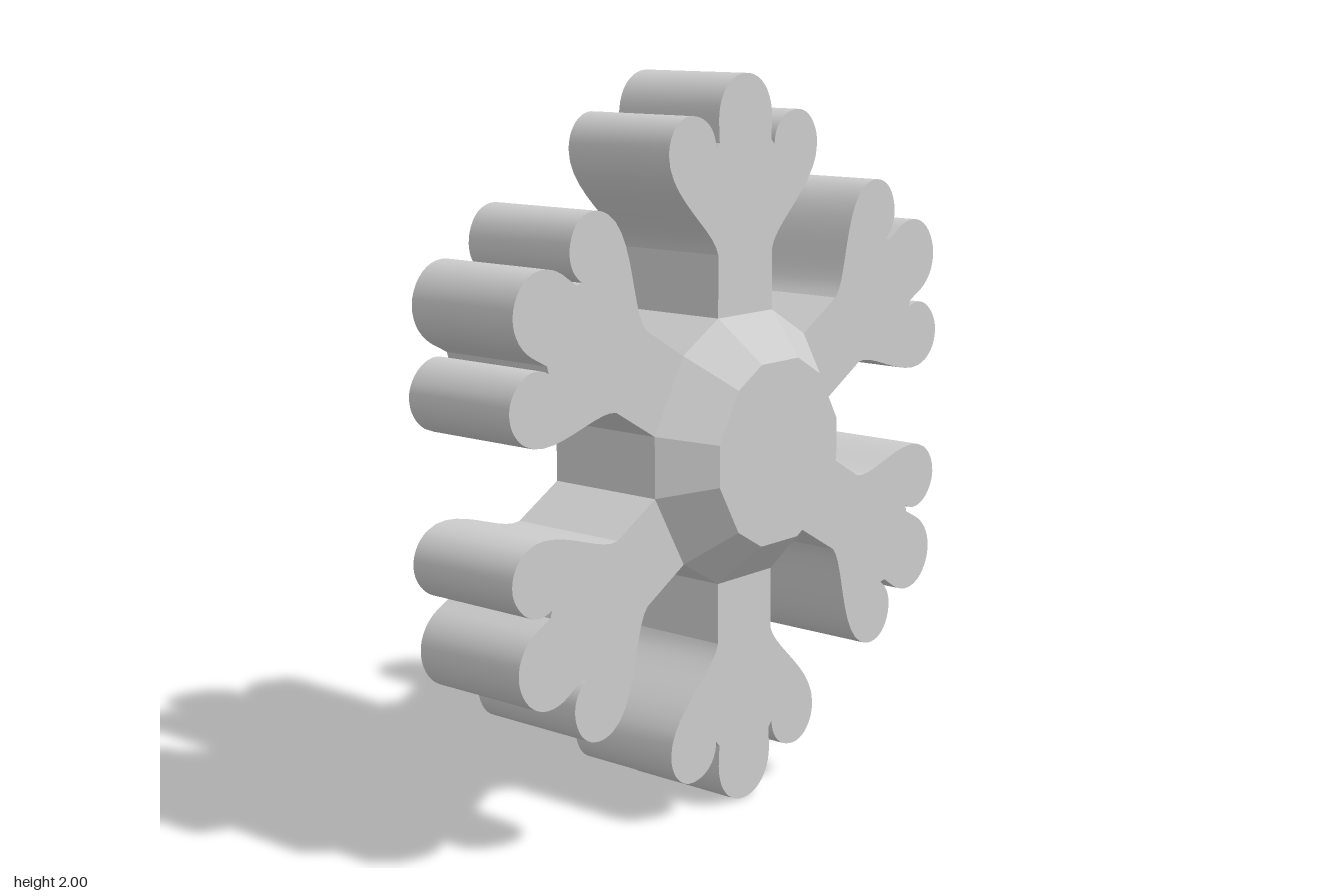
import * as THREE from 'three';
import { toCreasedNormals } from 'three/addons/utils/BufferGeometryUtils.js';

const BACK = -0.235, PLATE = 0.115, FRONT = 0.235;
const ARMS = 6;
const HALF = 0.114, ROOT = 0.362; // arm half width, distance of the arm root

// Right half of the upright arm, from root to tip
function halfArm() {
  const p = new THREE.Path();
  p.moveTo(HALF, ROOT);
  p.lineTo(HALF, 0.53);
  p.bezierCurveTo(0.13, 0.6, 0.31, 0.69, 0.31, 0.8);
  p.bezierCurveTo(0.31, 0.855, 0.27, 0.897, 0.222, 0.897);
  p.bezierCurveTo(0.165, 0.897, 0.122, 0.86, 0.122, 0.807);
  p.lineTo(0.108, 0.822);
  p.lineTo(0.111, 0.88);
  p.bezierCurveTo(0.111, 0.95, 0.065, 1, 0, 1);
  return p.getPoints(10);
}

// Whole outline, counter-clockwise
function outline() {
  const right = halfArm();
  const left = right.slice(0, -1).reverse().map(p => new THREE.Vector2(-p.x, p.y));
  const arm = [...right, ...left];
  const pts = [];
  const origin = new THREE.Vector2();
  for (let i = 0; i < ARMS; i++) {
    for (const p of arm) pts.push(p.clone().rotateAround(origin, i * Math.PI * 2 / ARMS));
  }
  return pts;
}

// Faceted boss: twelve-sided ring at the plate, smaller ring in front
function bossGeometry() {
  const ring = [];
  const origin = new THREE.Vector2();
  for (let i = 0; i < ARMS; i++) {
    for (const x of [HALF, -HALF]) {
      ring.push(new THREE.Vector2(x, ROOT).rotateAround(origin, i * Math.PI * 2 / ARMS));
    }
  }
  const pos = [];
  const outer = p => [p.x, p.y, PLATE];
  const inner = p => [p.x * 0.68, p.y * 0.68, FRONT];
  ring.forEach((a, i) => {
    const b = ring[(i + 1) % ring.length];
    pos.push(...outer(a), ...outer(b), ...inner(b));
    pos.push(...outer(a), ...inner(b), ...inner(a));
    pos.push(0, 0, FRONT, ...inner(a), ...inner(b));
  });
  const g = new THREE.BufferGeometry();
  g.setAttribute('position', new THREE.Float32BufferAttribute(pos, 3));
  g.computeVertexNormals();
  return g;
}

export function createModel() {
  const group = new THREE.Group();
  group.name = 'snowflake';

  // Six-armed plate
  const plateGeometry = new THREE.ExtrudeGeometry(new THREE.Shape(outline()), {
    depth: PLATE - BACK, bevelEnabled: false,
  });
  plateGeometry.translate(0, 0, BACK);
  const plate = new THREE.Mesh(
    toCreasedNormals(plateGeometry, 0.4),
    new THREE.MeshStandardMaterial({ color: 0xcccccc }),
  );
  plate.name = 'snowflakePlate';

  // Raised centre
  const boss = new THREE.Mesh(
    bossGeometry(),
    new THREE.MeshStandardMaterial({ color: 0xcccccc, flatShading: true }),
  );
  boss.name = 'centreBoss';

  for (const part of [plate, boss]) {
    part.position.y = 1;
    group.add(part);
  }
  return group;
}
